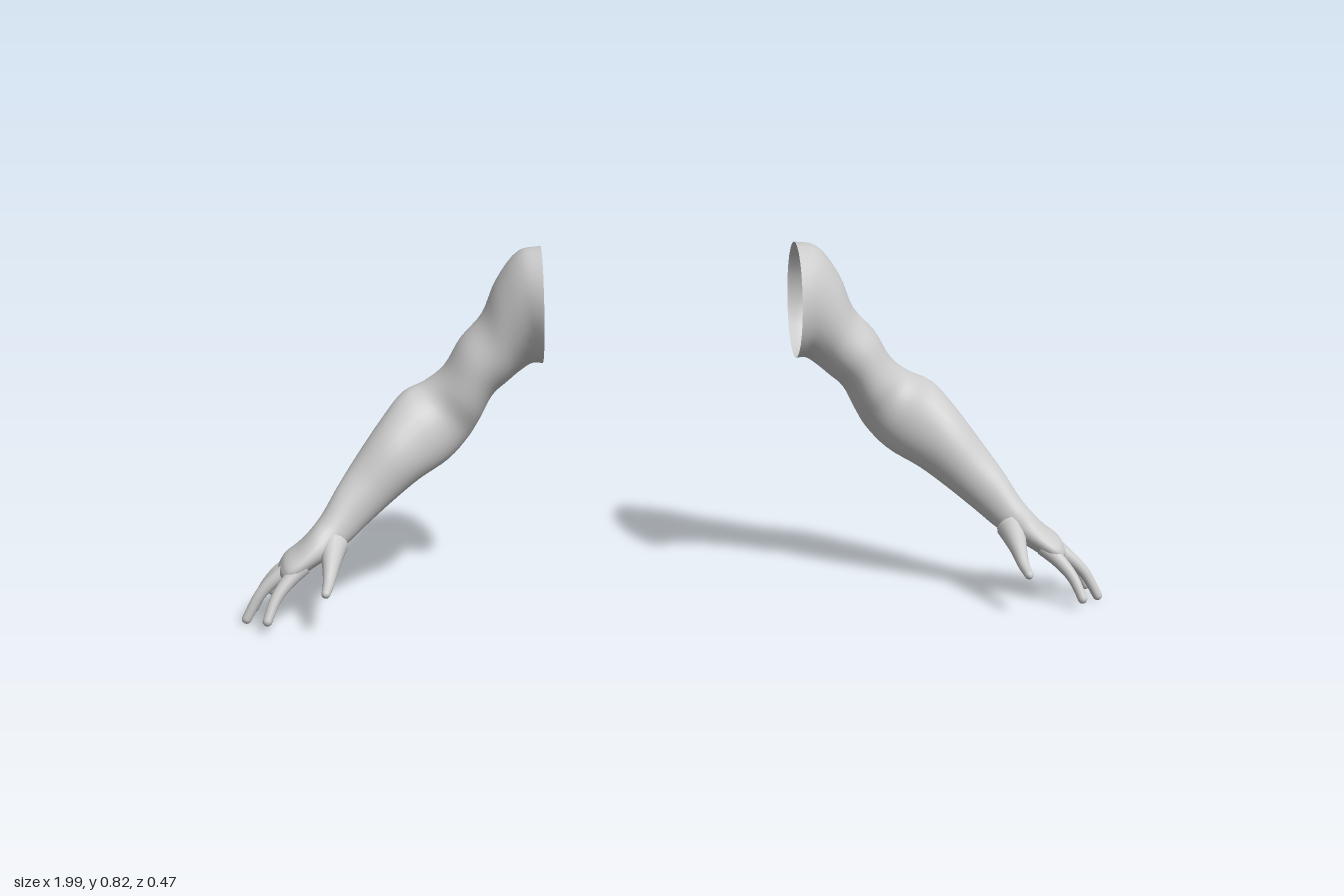
import * as THREE from 'three';

const V = (x, y, z) => new THREE.Vector3(x, y, z);
const curve = pts => new THREE.CatmullRomCurve3(pts);

// Arm sections from shoulder to knuckles: top x, y, bottom x, y, back z, front z
const SECTIONS = [
  [0.295, 0.82, 0.295, 0.55, -0.237, 0.046],
  [0.345, 0.81, 0.318, 0.548, -0.228, 0.02],
  [0.40, 0.74, 0.345, 0.53, -0.218, 0.0],
  [0.435, 0.66, 0.375, 0.505, -0.208, -0.01],
  [0.485, 0.605, 0.41, 0.475, -0.195, -0.013],
  [0.525, 0.54, 0.44, 0.42, -0.19, -0.018],
  [0.57, 0.505, 0.467, 0.375, -0.187, -0.026],
  [0.62, 0.485, 0.515, 0.327, -0.17, 0.0],
  [0.675, 0.425, 0.585, 0.29, -0.13, 0.034],
  [0.735, 0.345, 0.65, 0.245, -0.08, 0.052],
  [0.775, 0.29, 0.71, 0.2, -0.028, 0.073],
  [0.81, 0.235, 0.755, 0.165, 0.0, 0.1],
  [0.835, 0.205, 0.79, 0.145, 0.006, 0.13],
  [0.868, 0.172, 0.83, 0.122, 0.002, 0.148],
  [0.897, 0.15, 0.862, 0.103, 0.002, 0.155],
  [0.908, 0.133, 0.884, 0.098, 0.012, 0.145],
];

// Finger paths from inside the palm to the tip, with base and tip radius
const FINGERS = {
  thumb: [[V(0.785, 0.172, 0.085), V(0.79, 0.14, 0.15), V(0.795, 0.113, 0.19), V(0.802, 0.097, 0.235)], 0.034, 0.01],
  indexFinger: [[V(0.855, 0.135, 0.125), V(0.887, 0.107, 0.147), V(0.915, 0.073, 0.17), V(0.938, 0.02, 0.2)], 0.021, 0.011],
  middleFinger: [[V(0.86, 0.135, 0.1), V(0.905, 0.113, 0.11), V(0.95, 0.073, 0.12), V(0.99, 0.005, 0.13)], 0.021, 0.011],
  ringFinger: [[V(0.86, 0.135, 0.068), V(0.905, 0.112, 0.067), V(0.942, 0.073, 0.063), V(0.975, 0.01, 0.06)], 0.021, 0.011],
  littleFinger: [[V(0.855, 0.14, 0.035), V(0.887, 0.117, 0.024), V(0.913, 0.08, 0.01), V(0.935, 0.03, -0.005)], 0.02, 0.01],
};

// Skin a list of closed rings; side -1 mirrors the surface in x
function loft(rings, side) {
  const n = rings[0].length, pos = [], index = [];
  for (const ring of rings) for (const p of ring) pos.push(p.x * side, p.y, p.z);
  const tri = (a, b, c) => (side > 0 ? index.push(a, b, c) : index.push(a, c, b));
  for (let i = 0; i < rings.length - 1; i++) {
    for (let j = 0; j < n; j++) {
      const a = i * n + j, b = i * n + (j + 1) % n;
      tri(a, b, a + n);
      tri(b, b + n, a + n);
    }
  }
  // Close the far end
  const last = (rings.length - 1) * n;
  const c = rings.at(-1).reduce((s, p) => s.add(p), V(0, 0, 0)).divideScalar(n);
  pos.push(c.x * side, c.y, c.z);
  for (let j = 0; j < n; j++) tri(last + j, last + (j + 1) % n, last + n);
  const g = new THREE.BufferGeometry();
  g.setAttribute('position', new THREE.Float32BufferAttribute(pos, 3));
  g.setIndex(index);
  g.computeVertexNormals();
  return g;
}

// Ellipse ring spanned by half axes u and v
function ring(c, u, v, n) {
  return Array.from({ length: n }, (_, j) => {
    const a = (j / n) * Math.PI * 2;
    return c.clone().addScaledVector(u, Math.cos(a)).addScaledVector(v, Math.sin(a));
  });
}

function armRings() {
  const top = curve(SECTIONS.map(s => V(s[0], s[1], 0)));
  const bottom = curve(SECTIONS.map(s => V(s[2], s[3], 0)));
  const depth = curve(SECTIONS.map((s, i) => V(s[4], s[5], i * 0.05)));
  const rings = [], steps = 60;
  for (let i = 0; i <= steps; i++) {
    const t = i / steps, T = top.getPoint(t), B = bottom.getPoint(t), d = depth.getPoint(t);
    const c = T.clone().add(B).multiplyScalar(0.5).setZ((d.x + d.y) / 2);
    rings.push(ring(c, T.sub(B).multiplyScalar(0.5), V(0, 0, (d.y - d.x) / 2), 28));
  }
  // Rounded knuckle end
  const end = rings.at(-1), mid = end.reduce((s, p) => s.add(p), V(0, 0, 0)).divideScalar(end.length);
  for (const [k, out] of [[0.8, 0.006], [0.45, 0.01]]) {
    rings.push(end.map(p => p.clone().lerp(mid, 1 - k).add(V(out, -out * 0.8, 0))));
  }
  return rings;
}

function fingerRings([points, r0, r1]) {
  const path = curve(points), length = path.getLength(), rings = [], steps = 24;
  for (let i = 0; i <= steps; i++) {
    const t = 1 - (1 - i / steps) ** 1.5;
    const tan = path.getTangentAt(t);
    const u = V(0.6, 0.8, 0).addScaledVector(tan, -tan.dot(V(0.6, 0.8, 0))).normalize();
    const v = tan.clone().cross(u);
    // Quick taper out of the palm, then even, then a round tip
    let r = r1 + (r0 - r1) * (1 - t) ** 1.6;
    const left = (1 - t) * length;
    if (left < r1) r *= Math.sqrt(Math.max(0.001, 1 - (1 - left / r1) ** 2));
    rings.push(ring(path.getPointAt(t), u.multiplyScalar(r), v.multiplyScalar(r), 14));
  }
  return rings;
}

export function createModel() {
  const model = new THREE.Group();
  model.name = 'pairOfArms';
  const skin = new THREE.MeshStandardMaterial({ color: 0xcccccc, side: THREE.DoubleSide });
  for (const [name, side] of [['leftArm', 1], ['rightArm', -1]]) {
    const arm = new THREE.Group();
    arm.name = name;
    const add = (part, rings) => {
      const mesh = new THREE.Mesh(loft(rings, side), skin);
      mesh.name = part;
      arm.add(mesh);
    };
    // Open sleeve-like shoulder down to the palm
    add('armAndPalm', armRings());
    for (const [part, spec] of Object.entries(FINGERS)) add(part, fingerRings(spec));
    model.add(arm);
  }
  return model;
}
